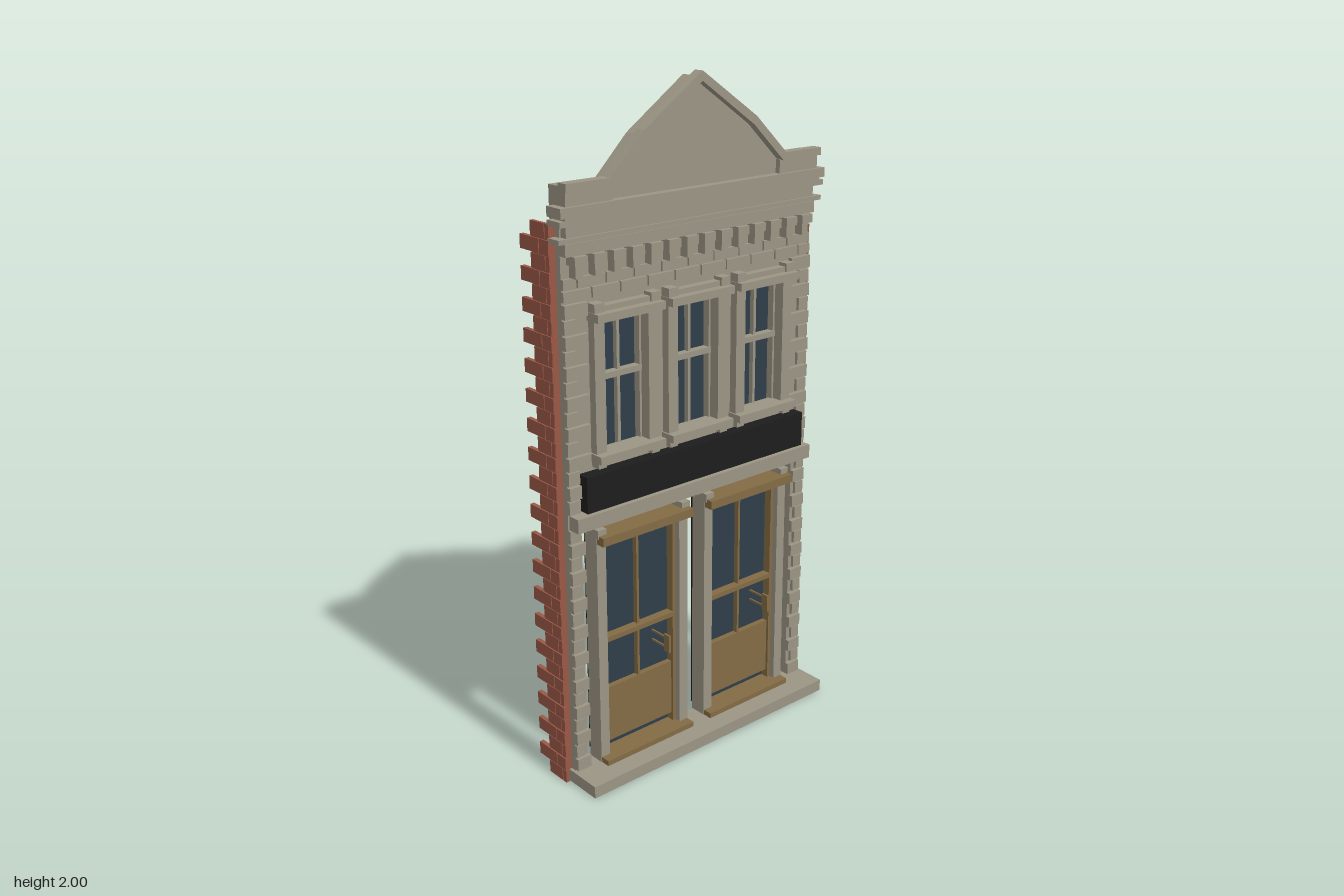
import * as THREE from 'three';

const mat = (name, color) => Object.assign(new THREE.MeshStandardMaterial({ color }), { name });

export function createModel() {
  const stone = mat('stone', 0x9b9584);
  const brick = mat('brick', 0x9a5846);
  const wood = mat('wood', 0x836b45);
  const glass = mat('glass', 0x2f3d49);
  const black = mat('black', 0x1d1d1d);
  const root = new THREE.Group();
  root.name = 'shopFacade';

  const group = (name, parent = root) => {
    const g = new THREE.Group();
    g.name = name;
    parent.add(g);
    return g;
  };
  // Box given by its limits along each axis
  const box = (parent, name, m, x0, x1, y0, y1, z0, z1) => {
    const mesh = new THREE.Mesh(new THREE.BoxGeometry(x1 - x0, y1 - y0, z1 - z0), m);
    mesh.position.set((x0 + x1) / 2, (y0 + y1) / 2, (z0 + z1) / 2);
    mesh.name = name;
    parent.add(mesh);
    return mesh;
  };
  const sideBox = (parent, name, m, s, a, b, ...rest) =>
    box(parent, name, m, Math.min(s * a, s * b), Math.max(s * a, s * b), ...rest);
  const extrude = (parent, name, m, shape, z0, z1) => {
    const mesh = new THREE.Mesh(new THREE.ExtrudeGeometry(shape, { depth: z1 - z0, bevelEnabled: false }), m);
    mesh.position.z = z0;
    mesh.name = name;
    parent.add(mesh);
  };
  const outline = (pts) => new THREE.Shape(pts.map(([x, y]) => new THREE.Vector2(x, y)));
  const rect = (x0, x1, y0, y1) => outline([[x0, y0], [x1, y0], [x1, y1], [x0, y1]]);
  // Half profile running from the outer edge to the peak, mirrored
  const mirrorProfile = (half) => [...half, ...half.slice(0, -1).reverse().map(([x, y]) => [-x, y])];

  // Step
  box(root, 'step', stone, -0.46, 0.46, 0.005, 0.042, -0.015, 0.125);

  // Wall with three window openings and one wide shop opening
  const windowXs = [-0.255, 0, 0.255];
  const wall = outline([[-0.45, 0.042], [-0.405, 0.042], [-0.405, 0.8], [0.405, 0.8],
    [0.405, 0.042], [0.45, 0.042], [0.45, 1.65], [-0.45, 1.65]]);
  for (const x of windowXs) wall.holes.push(rect(x - 0.078, x + 0.078, 1.0, 1.385));
  extrude(root, 'wall', stone, wall, -0.02, 0.02);

  // Quoins with alternating lengths
  const quoins = group('quoins');
  const rowH = 0.0423;
  for (const s of [-1, 1]) {
    for (let i = 0; i < 33; i++) {
      const y = 0.045 + i * rowH;
      if (y > 0.77 && y < 0.845) continue;
      const long = i % 2 === 0;
      const inner = y < 0.8 ? (long ? 0.402 : 0.418) : (long ? 0.375 : 0.412);
      sideBox(quoins, 'quoin', stone, s, inner, 0.45, y, y + rowH - 0.005, 0.02, long ? 0.034 : 0.03);
    }
  }

  // Stone courses above the windows
  const courses = group('stoneCourses');
  for (let r = 0; r < 2; r++) {
    const y = 1.443 + r * 0.033;
    for (let i = -1; i < 10; i++) {
      const x0 = Math.max(-0.45, -0.45 + (i + r * 0.5) * 0.095);
      const x1 = Math.min(0.45, -0.45 + (i + 1 + r * 0.5) * 0.095 - 0.005);
      if (x1 - x0 > 0.01) box(courses, 'courseBlock', stone, x0, x1, y, y + 0.028, 0.02, 0.03);
    }
  }

  // Corbels and cornice bands
  const cornice = group('cornice');
  for (let i = 0; i < 14; i++) {
    const x = -0.41 + i * 0.82 / 13;
    box(cornice, 'corbelHead', stone, x - 0.021, x + 0.021, 1.54, 1.565, 0.02, 0.058);
    box(cornice, 'corbelFoot', stone, x - 0.012, x + 0.012, 1.505, 1.54, 0.02, 0.048);
  }
  for (const [w, y0, y1, z] of [[0.45, 1.565, 1.598, 0.044], [0.473, 1.6, 1.613, 0.048],
    [0.445, 1.613, 1.645, 0.042], [0.473, 1.645, 1.66, 0.055], [0.455, 1.66, 1.668, 0.055], [0.473, 1.668, 1.695, 0.06]]) {
    box(cornice, 'corniceBand', stone, -w, w, y0, y1, 0.0, z);
  }

  // Parapet with stepped gable and raised coping
  const parapet = group('parapet');
  const body = mirrorProfile([[-0.45, 1.64], [-0.45, 1.745], [-0.3, 1.745], [-0.195, 1.85], [0, 1.985]]);
  extrude(parapet, 'gableBody', stone, outline(body), -0.02, 0.034);
  const outer = mirrorProfile([[-0.455, 1.755], [-0.315, 1.755], [-0.2, 1.865], [0, 2.0]]);
  const inner = mirrorProfile([[-0.455, 1.733], [-0.305, 1.733], [-0.19, 1.843], [0, 1.973]]);
  extrude(parapet, 'gableCoping', stone, outline([...outer, ...inner.reverse()]), 0.028, 0.06);
  for (const s of [-1, 1]) {
    sideBox(parapet, 'parapetEnd', stone, s, 0.3, 0.45, 1.695, 1.735, 0.03, 0.05);
  }

  // Upper windows
  const makeWindow = (x) => {
    const g = group('window');
    g.position.x = x;
    box(g, 'windowGlass', glass, -0.078, 0.078, 1.0, 1.385, -0.018, -0.01);
    box(g, 'windowBacking', black, -0.086, 0.086, 0.995, 1.39, -0.035, -0.0185);
    box(g, 'meetingRail', stone, -0.078, 0.078, 1.205, 1.222, -0.01, 0.015);
    box(g, 'mullion', stone, -0.005, 0.005, 1.0, 1.385, -0.01, 0.005);
    for (const s of [-1, 1]) {
      sideBox(g, 'jamb', stone, s, 0.075, 0.11, 1.0, 1.4, 0.0, 0.045);
      sideBox(g, 'sashStile', stone, s, 0.068, 0.08, 1.0, 1.385, -0.01, 0.012);
      sideBox(g, 'lintelEnd', stone, s, 0.08, 0.113, 1.405, 1.43, 0.02, 0.052);
      sideBox(g, 'sillBracket', stone, s, 0.08, 0.108, 0.968, 0.99, 0.02, 0.05);
    }
    box(g, 'lintel', stone, -0.115, 0.115, 1.382, 1.405, 0.0, 0.07);
    box(g, 'lintelCap', stone, -0.08, 0.08, 1.405, 1.42, 0.02, 0.045);
    box(g, 'sill', stone, -0.115, 0.115, 0.988, 1.01, 0.0, 0.07);
  };
  windowXs.forEach(makeWindow);

  // Blank sign board and the ledge under it
  box(root, 'signBoard', black, -0.41, 0.41, 0.852, 0.958, 0.02, 0.058);
  box(root, 'signLedge', stone, -0.445, 0.445, 0.803, 0.845, 0.0, 0.06);

  // Shop doors
  const makeDoor = (x) => {
    const g = group('door');
    g.position.x = x;
    box(g, 'doorBacking', black, -0.15, 0.15, 0.05, 0.75, -0.044, -0.016);
    box(g, 'doorGlass', glass, -0.136, 0.136, 0.055, 0.745, -0.016, -0.008);
    box(g, 'lowerPanel', wood, -0.13, 0.13, 0.083, 0.26, -0.01, 0.01);
    box(g, 'middleRail', wood, -0.13, 0.13, 0.415, 0.43, -0.01, 0.02);
    box(g, 'mullion', wood, -0.004, 0.004, 0.26, 0.745, -0.01, 0.008);
    box(g, 'lintel', wood, -0.165, 0.165, 0.742, 0.768, -0.015, 0.065);
    box(g, 'threshold', wood, -0.165, 0.165, 0.042, 0.058, -0.015, 0.065);
    box(g, 'handle', wood, 0.062, 0.069, 0.335, 0.39, 0.05, 0.074);
    for (const y of [0.345, 0.376]) box(g, 'handleMount', wood, 0.063, 0.068, y, y + 0.006, -0.008, 0.05);
    for (const s of [-1, 1]) {
      sideBox(g, 'doorStile', wood, s, 0.124, 0.137, 0.055, 0.745, -0.01, 0.018);
      sideBox(g, 'doorPost', stone, s, 0.135, 0.167, 0.042, 0.762, -0.018, 0.036);
      sideBox(g, 'postCap', stone, s, 0.138, 0.168, 0.76, 0.785, 0.0, 0.045);
    }
  };
  makeDoor(-0.2);
  makeDoor(0.2);

  // Toothed brick returns on both sides
  for (const s of [-1, 1]) {
    const g = group(s > 0 ? 'leftBrickReturn' : 'rightBrickReturn');
    sideBox(g, 'brickCore', brick, s, 0.45, 0.467, 0.005, 1.645, -0.018, 0.002);
    for (let i = 0; i < 39; i++) {
      const y0 = 0.002 + i * rowH, y1 = y0 + rowH - 0.004;
      const long = i % 2 === 1;
      const cuts = long ? [0.004, -0.036, -0.122] : [0.004, -0.012, -0.077];
      for (let k = 0; k < 2; k++) {
        sideBox(g, 'brick', brick, s, 0.461, long ? 0.474 : 0.472, y0, y1, cuts[k + 1], cuts[k] - 0.003 * k);
      }
      sideBox(g, 'mortarStrip', brick, s, 0.463, 0.47, y0, Math.min(y0 + rowH, 1.645), -0.076, 0.0);
    }
  }
  return root;
}
